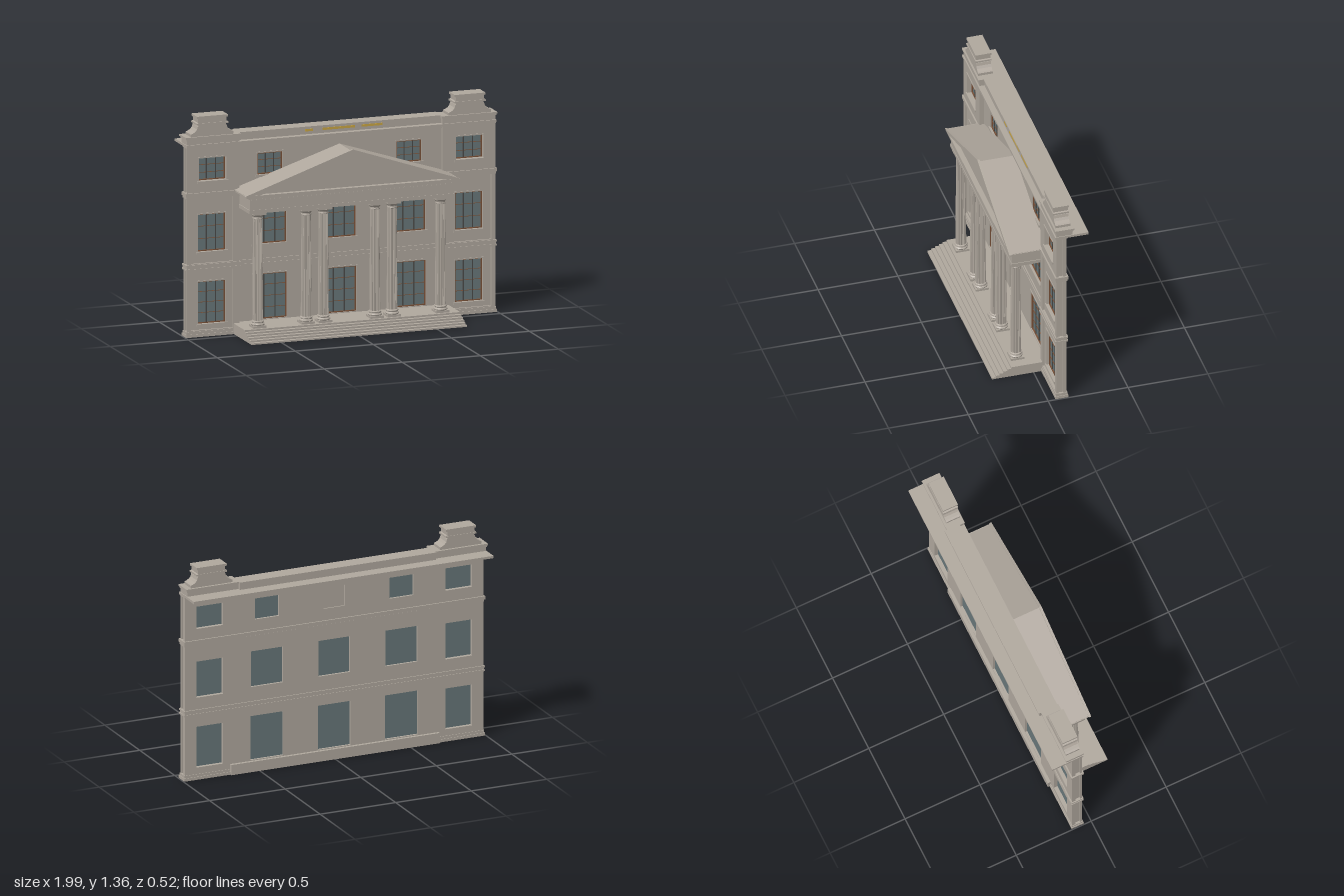
import * as THREE from 'three';
import { toCreasedNormals } from 'three/addons/utils/BufferGeometryUtils.js';

export function createModel() {
  const mat = (name, color) => Object.assign(new THREE.MeshStandardMaterial({ color }), { name });
  const stone = mat('stone', 0xb0a89e);
  const glass = mat('glass', 0x68777a);
  const wood = mat('window wood', 0x7a5138);
  const bars = mat('dark glazing bars', 0x4a4a48);
  const gold = mat('gold', 0xc9a544);
  const model = new THREE.Group();
  model.name = 'porticoBuilding';

  const add = (name, geo, material = stone, parent = model) => {
    const m = new THREE.Mesh(geo, material);
    m.name = name;
    parent.add(m);
    return m;
  };
  // box given by its limits on each axis
  const box = (name, x0, x1, y0, y1, z0, z1, material = stone, parent = model) => {
    const m = add(name, new THREE.BoxGeometry(x1 - x0, y1 - y0, z1 - z0), material, parent);
    m.position.set((x0 + x1) / 2, (y0 + y1) / 2, (z0 + z1) / 2);
    return m;
  };
  const poly = (pts) => new THREE.Shape(pts.map(([x, y]) => new THREE.Vector2(x, y)));
  const rect = ([x0, x1, y0, y1]) => poly([[x0, y0], [x1, y0], [x1, y1], [x0, y1]]);
  // outline with holes, extruded from z0 to z1
  const slab = (name, shape, holes, z0, z1, parent = model) => {
    shape.holes = holes.map(rect);
    const geo = new THREE.ExtrudeGeometry(shape, { depth: z1 - z0, bevelEnabled: false });
    const m = add(name, geo, stone, parent);
    m.position.z = z0;
    return m;
  };

  // glass, wooden frame, glazing bars and sill in one opening
  function windowUnit([x0, x1, y0, y1], zFace, zGlass, rows, sill) {
    const g = new THREE.Group();
    g.name = 'window';
    model.add(g);
    box('pane', x0, x1, y0, y1, zGlass - 0.006, zGlass, glass, g);
    const f = 0.006, zf = zGlass + 0.008;
    box('frameSide', x0, x0 + f, y0, y1, zGlass, zf, wood, g);
    box('frameSide', x1 - f, x1, y0, y1, zGlass, zf, wood, g);
    box('frameTop', x0, x1, y1 - f, y1, zGlass, zf, wood, g);
    box('frameBottom', x0, x1, y0, y0 + f, zGlass, zf, wood, g);
    for (let i = 1; i < 3; i++) {
      const x = x0 + (x1 - x0) * i / 3;
      box('mullion', x - 0.003, x + 0.003, y0 + f, y1 - f, zGlass, zGlass + 0.006, bars, g);
    }
    for (let i = 1; i < rows; i++) {
      const y = y0 + (y1 - y0) * i / rows;
      box('glazingBar', x0 + f, x1 - f, y - 0.0015, y + 0.0015, zGlass, zGlass + 0.004, wood, g);
    }
    if (sill) box('sill', x0 - 0.012, x1 + 0.012, y0 - 0.014, y0, zGlass, zFace + 0.008, stone, g);
    box('lintel', x0 - 0.006, x1 + 0.006, y1, y1 + 0.008, zFace - 0.004, zFace + 0.004, stone, g);
  }

  // central wall
  const centreHoles = [];
  for (const x of [-0.445, 0, 0.445]) {
    const lower = [x - 0.108, x + 0.108, 0.07, 0.35];
    const middle = [x - 0.105, x + 0.105, 0.535, 0.762];
    centreHoles.push(lower, middle);
    windowUnit(lower, -0.085, -0.1, 4, false);
    windowUnit(middle, -0.085, -0.1, 3, true);
    const w = x ? 0.08 : 0.07;
    const upper = [x - w, x + w, 0.962, 1.095];
    centreHoles.push(upper);
    if (x) windowUnit(upper, -0.085, -0.1, 3, true);
    else box('blindWindow', ...upper, -0.112, -0.09);
  }
  slab('centreWall', rect([-0.66, 0.66, 0, 1.175]), centreHoles, -0.12, -0.085);

  // wings, mirrored
  for (const s of [-1, 1]) {
    const span = (a, b) => (s > 0 ? [a, b] : [-b, -a]);
    const wx = span(0.735, 0.912);
    const holes = [[...wx, 0.075, 0.335], [...wx, 0.52, 0.75], [...wx, 0.958, 1.1]];
    const px = span(0.692, 0.962);
    const panels = [[...px, 0.04, 0.405], [...px, 0.45, 0.852], holes[2]];
    slab('wingBack', rect([...span(0.65, 0.987), 0, 1.175]), holes, -0.12, -0.097);
    slab('wingCore', rect([...span(0.655, 0.977), 0, 1.175]), holes, -0.097, -0.068);
    slab('wingFront', rect([...span(0.65, 0.987), 0, 1.175]), panels, -0.068, -0.055);
    holes.forEach((h, i) => windowUnit(h, i < 2 ? -0.068 : -0.055, -0.09, 4 - (i > 0), true));

    // wing mouldings: lower edge, upper edge, projection
    for (const [y0, y1, p] of [[0, 0.018, 0.008], [0.018, 0.034, 0.004], [0.41, 0.42, 0.007],
      [0.42, 0.434, 0.003], [0.434, 0.445, 0.007], [0.852, 0.868, 0.004], [0.868, 0.888, 0.009],
      [1.165, 1.172, 0.004]]) {
      box('wingMoulding', ...span(0.65 - p, 0.987 + p), y0, y1, -0.12 - p, -0.055 + p);
    }
    // end parapet with stepped cornice
    box('endParapet', ...span(0.65, 0.987), 1.185, 1.213, -0.155, -0.055);
    box('endParapetCornice', ...span(0.647, 0.992), 1.213, 1.223, -0.16, -0.051);
    box('endParapetCap', ...span(0.643, 0.997), 1.223, 1.234, -0.165, -0.047);

    // chimney with flared foot and moulded top
    const right = [[0.137, 1.234], [0.137, 1.25], [0.125, 1.254], [0.108, 1.264], [0.097, 1.278],
      [0.092, 1.296], [0.088, 1.3], [0.088, 1.304], [0.1, 1.306], [0.1, 1.314], [0.09, 1.318],
      [0.09, 1.342], [0.098, 1.346], [0.098, 1.358]];
    const left = right.map(([x, y]) => [-x, y]).reverse();
    slab('chimney', poly([...right, ...left]), [], -0.15, -0.058).position.x = s * 0.825;
    box('chimneyBand', ...span(0.724, 0.926), 1.305, 1.315, -0.153, -0.053);
    box('chimneyCap', ...span(0.726, 0.924), 1.345, 1.358, -0.153, -0.053);
  }

  // central bands, front and back
  for (const [y0, y1, p] of [[0.41, 0.42, 0.007], [0.42, 0.434, 0.003], [0.434, 0.445, 0.007],
    [0.868, 0.888, 0.009], [1.155, 1.172, 0.005]]) {
    box('centreBand', -0.655, 0.655, y0, y1, -0.12 - p, -0.085 + p);
  }
  const dentils = new THREE.Group();
  dentils.name = 'dentils';
  model.add(dentils);
  for (let i = 0; i < 44; i++) {
    const x = -0.635 + i * 1.27 / 43;
    box('backDentil', x - 0.006, x + 0.006, 0.858, 0.868, -0.126, -0.12, stone, dentils);
    box('frontDentil', x - 0.006, x + 0.006, 0.855, 0.865, 0.125, 0.132, stone, dentils);
  }

  // roof plate and central parapet
  box('roofPlate', -0.992, 0.992, 1.171, 1.186, -0.256, -0.047);
  box('centreParapet', -0.65, 0.65, 1.186, 1.225, -0.175, -0.085);
  box('parapetCap', -0.65, 0.65, 1.225, 1.234, -0.18, -0.08);
  for (const [a, b] of [[-0.22, -0.17], [-0.11, 0.1], [0.14, 0.275]]) {
    box('goldInlay', a, b, 1.204, 1.218, -0.086, -0.082, gold);
  }

  // platform and steps
  box('platform', -0.69, 0.69, 0, 0.065, -0.14, 0.14);
  for (let i = 0; i < 5; i++) {
    box('step', -0.69, 0.69, 0, 0.054 - i * 0.011, 0.13, 0.164 + i * 0.024);
  }

  // fluted columns
  const shaft = new THREE.CylinderGeometry(0.0285, 0.033, 0.63, 80, 1, true);
  const p = shaft.attributes.position;
  for (let i = 0; i < p.count; i++) {
    const k = (i % 81) % 4 < 2 ? 1 : 0.88;
    p.setX(i, p.getX(i) * k);
    p.setZ(i, p.getZ(i) * k);
  }
  const lathe = (pts) => toCreasedNormals(
    new THREE.LatheGeometry(pts.map(([r, y]) => new THREE.Vector2(r, y)), 32), 0.6);
  const shaftGeo = toCreasedNormals(shaft, 0.4);
  const baseGeo = lathe([[0.039, 0.078], [0.042, 0.082], [0.042, 0.087], [0.038, 0.091], [0.035, 0.093],
    [0.035, 0.097], [0.039, 0.1], [0.038, 0.105], [0.034, 0.108], [0.028, 0.109]]);
  const capitalGeo = lathe([[0.027, 0.732], [0.031, 0.734], [0.031, 0.739], [0.029, 0.741], [0.029, 0.748],
    [0.035, 0.755], [0.038, 0.76], [0.036, 0.763], [0, 0.763]]);
  for (const x of [-0.585, -0.275, -0.165, 0.165, 0.275, 0.585]) {
    const column = new THREE.Group();
    column.name = 'column';
    column.position.set(x, 0, 0.081);
    model.add(column);
    box('plinth', -0.042, 0.042, 0.065, 0.079, -0.042, 0.042, stone, column);
    add('columnBase', baseGeo, stone, column);
    add('shaft', shaftGeo, stone, column).position.y = 0.42;
    add('capital', capitalGeo, stone, column);
    box('abacus', -0.042, 0.042, 0.762, 0.776, -0.042, 0.042, stone, column);
  }

  // entablature
  box('architrave', -0.655, 0.655, 0.775, 0.797, -0.086, 0.127);
  box('frieze', -0.65, 0.65, 0.797, 0.866, -0.086, 0.124);
  box('entablatureMoulding', -0.665, 0.665, 0.866, 0.876, -0.086, 0.135);
  box('entablatureCornice', -0.682, 0.682, 0.876, 0.89, -0.086, 0.147);

  // pediment: recessed triangle, roof slopes and raking cornice
  const chevron = (w, y, apex, t) => poly([[-w, y], [-w + t * 2.4, y], [0, apex - t],
    [w - t * 2.4, y], [w, y], [0, apex]]);
  slab('tympanum', poly([[-0.65, 0.885], [0.65, 0.885], [0, 1.095]]), [], -0.086, 0.115);
  slab('pedimentRoof', chevron(0.685, 0.888, 1.112, 0.03), [], -0.086, 0.136);
  slab('rakingMoulding', chevron(0.68, 0.888, 1.11, 0.036), [], 0.112, 0.141);
  slab('rakingCornice', chevron(0.69, 0.89, 1.126, 0.024), [], 0.136, 0.151);

  return model;
}
